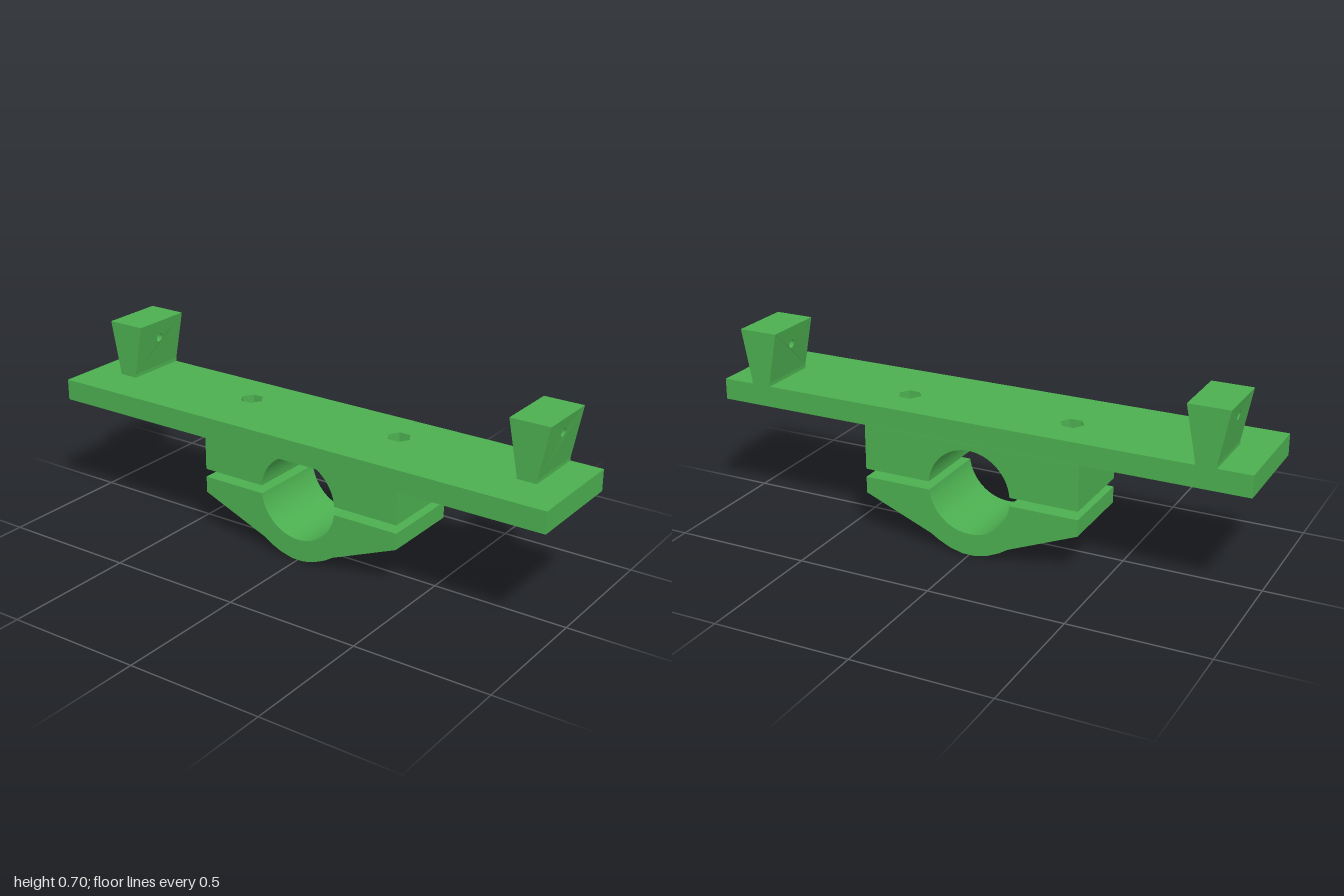
import * as THREE from 'three';

const material = new THREE.MeshStandardMaterial({ color: 0x4caf50, flatShading: true });
const BACK = -0.198, CLAMP_FRONT = 0.115;
const BORE_Y = 0.237, BORE_R = 0.157, SPLIT_X = 0.2, CLAMP_X = 0.41;
const BOLT_X = 0.315, BOLT_Z = -0.042, BOLT_R = 0.02;
const slope = (x) => 0.052 + (Math.abs(x) - 0.15) * 0.408; // underside of the lower clamp

const polygon = (pts) => new THREE.Shape(pts.map(([x, y]) => new THREE.Vector2(x, y)));

// Plan shapes hold (x, -z), so that extruding them goes up y
const rect = (x0, x1, z0, z1) => polygon([[x0, -z1], [x1, -z1], [x1, -z0], [x0, -z0]]);

function circle(x, y, r, sides) {
  const pts = [];
  for (let i = 0; i < sides; i++) {
    const a = (i / sides) * Math.PI * 2;
    pts.push([x + r * Math.cos(a), y + r * Math.sin(a)]);
  }
  return polygon(pts);
}

function extrude(shape, depth) {
  return new THREE.ExtrudeGeometry(shape, { depth, bevelEnabled: false, curveSegments: 16 });
}

function extrudeUp(shape, y0, y1) {
  return extrude(shape, y1 - y0).rotateX(-Math.PI / 2).translate(0, y0, 0);
}

function moveVertices(geometry, rule) {
  const p = geometry.attributes.position, v = new THREE.Vector3();
  for (let i = 0; i < p.count; i++) {
    rule(v.fromBufferAttribute(p, i));
    p.setXYZ(i, v.x, v.y, v.z);
  }
  geometry.computeVertexNormals();
  return geometry;
}

// Tapered post with a slightly tilted cross hole
function postGeometry(s) {
  const y0 = 0.508, y1 = 0.697, holeY = 0.633, holeZ = -0.08;
  const shape = polygon([[-0.036, y0], [-BACK, y0], [-BACK, y1], [-0.036, y1]]);
  shape.holes.push(circle(-holeZ, holeY, 0.016, 16));
  return moveVertices(extrude(shape, 1).rotateY(Math.PI / 2), (v) => {
    const side = v.x > 0.5 ? 1 : -1;
    const half = 0.037 + (0.0365 * (v.y - y0)) / (y1 - y0);
    v.x = s * 0.843 + side * half;
    if (Math.hypot(v.y - holeY, v.z - holeZ) < 0.02) v.y += s * side * 0.006;
  });
}

export function createModel() {
  const model = new THREE.Group();
  const add = (name, geometry) => {
    const mesh = new THREE.Mesh(geometry, material);
    mesh.name = name;
    model.add(mesh);
  };

  // Plate in two layers: round bolt holes below, hexagonal nut recesses above
  const bottomLayer = rect(-1, 1, -0.197, 0.199), topLayer = rect(-1, 1, -0.197, 0.199);
  for (const s of [-1, 1]) {
    bottomLayer.holes.push(circle(s * BOLT_X, -BOLT_Z, BOLT_R, 16));
    topLayer.holes.push(circle(s * BOLT_X, -BOLT_Z, 0.043, 6));
  }
  add('plateBottom', extrudeUp(bottomLayer, 0.417, 0.455));
  add('plateTop', extrudeUp(topLayer, 0.455, 0.495));

  // Middle of the upper clamp, with half the bore
  const a = Math.asin((0.25 - BORE_Y) / BORE_R), b = Math.asin((BORE_Y - 0.219) / BORE_R);
  const upper = new THREE.Shape();
  upper.moveTo(SPLIT_X, 0.25);
  upper.lineTo(SPLIT_X, 0.417);
  upper.lineTo(-SPLIT_X, 0.417);
  upper.lineTo(-SPLIT_X, 0.25);
  upper.absarc(0, BORE_Y, BORE_R, Math.PI - a, a, true);
  add('upperClampMiddle', extrude(upper, CLAMP_FRONT - BACK).translate(0, 0, BACK));

  // Middle of the lower clamp, with the rounded belly
  const belly = [[SPLIT_X, slope(SPLIT_X)], [0.15, 0.052], [0.118, 0.032], [0.073, 0.012], [0.025, 0]];
  const lower = new THREE.Shape();
  lower.moveTo(-SPLIT_X, 0.219);
  for (const [x, y] of belly) lower.lineTo(-x, y);
  for (const [x, y] of [...belly].reverse()) lower.lineTo(x, y);
  lower.lineTo(SPLIT_X, 0.219);
  lower.absarc(0, BORE_Y, BORE_R, -b, -Math.PI + b, true);
  add('lowerClampMiddle', extrude(lower, CLAMP_FRONT - BACK).translate(0, 0, BACK));

  for (const s of [-1, 1]) {
    const side = s > 0 ? 'left' : 'right';
    const bolt = () => circle(s * BOLT_X, -BOLT_Z, BOLT_R, 16);

    // Upper clamp ear
    const ear = rect(s * SPLIT_X, s * CLAMP_X, BACK, CLAMP_FRONT);
    ear.holes.push(bolt());
    add(side + 'UpperClampEar', extrudeUp(ear, 0.25, 0.417));

    // Lower clamp ear: sloping underside with a pocket for the bolt head
    const pocket = [s * 0.277, s * 0.351, -0.081, -0.002];
    const lowerEar = rect(s * SPLIT_X, s * CLAMP_X, BACK, CLAMP_FRONT);
    lowerEar.holes.push(rect(...pocket));
    add(side + 'LowerClampEar', moveVertices(extrudeUp(lowerEar, 0, 0.219), (v) => {
      if (v.y < 0.1) v.y = slope(v.x);
    }));
    const seat = rect(...pocket);
    seat.holes.push(bolt());
    add(side + 'BoltSeat', extrudeUp(seat, 0.134, 0.219));

    // Post on its short straight foot
    add(side + 'PostFoot', extrudeUp(rect(s * 0.843 - 0.037, s * 0.843 + 0.037, BACK, 0.036), 0.49, 0.508));
    add(side + 'Post', postGeometry(s));
  }
  return model;
}
